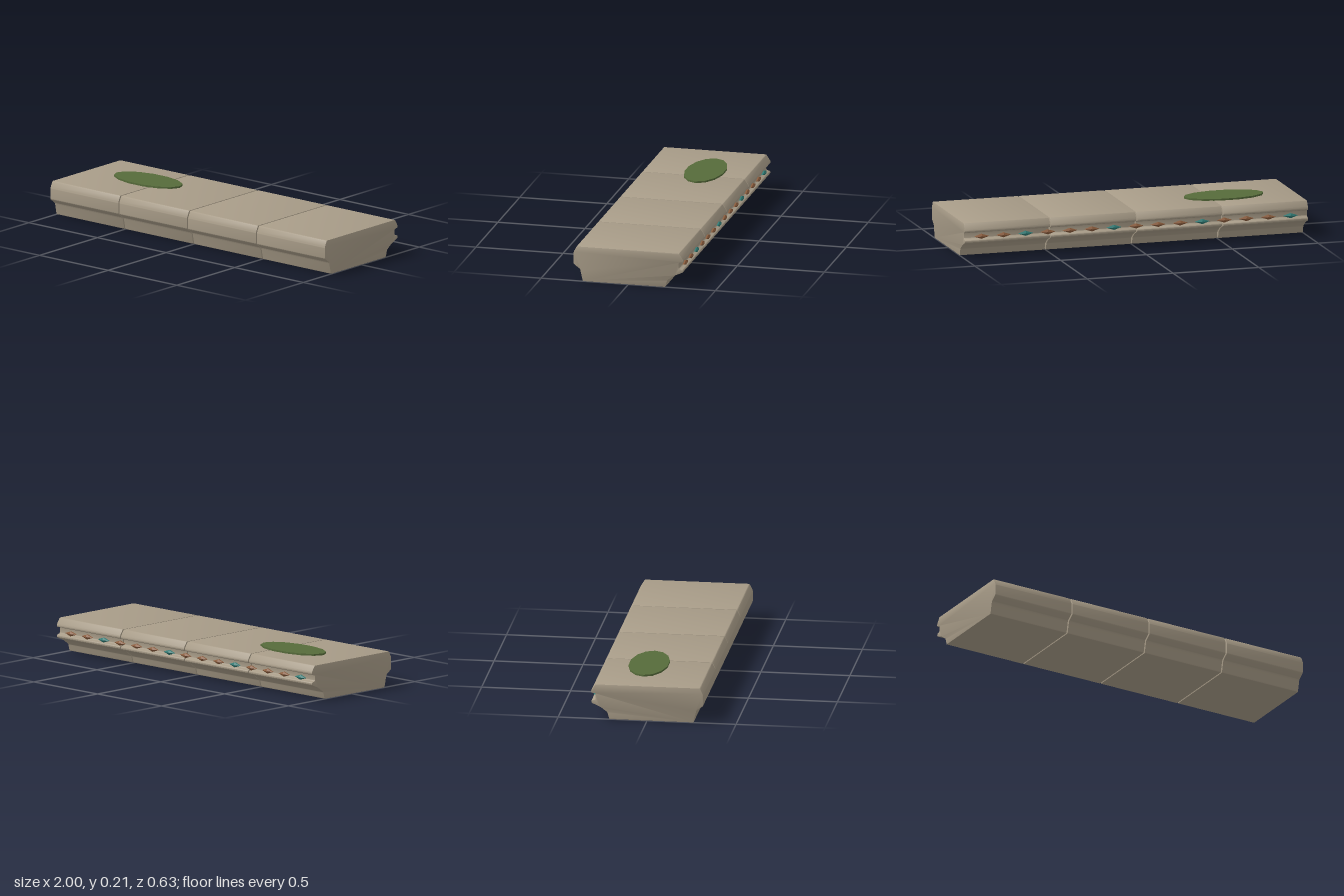
import * as THREE from 'three';
import { toCreasedNormals, mergeGeometries } from 'three/addons/utils/BufferGeometryUtils.js';

// Closed shape whose corners are softened by radius r
function roundedShape(points, r) {
  const p = points.map(([a, b]) => new THREE.Vector2(a, b));
  const shape = new THREE.Shape();
  const toward = (a, b) => a.clone().lerp(b, Math.min(r / a.distanceTo(b), 0.45));
  p.forEach((c, i) => {
    const start = toward(c, p[(i + p.length - 1) % p.length]);
    const end = toward(c, p[(i + 1) % p.length]);
    if (i === 0) shape.moveTo(start.x, start.y);
    else shape.lineTo(start.x, start.y);
    shape.quadraticCurveTo(c.x, c.y, end.x, end.y);
  });
  shape.closePath();
  return shape;
}

export function createModel() {
  const group = new THREE.Group();
  const material = (color) => new THREE.MeshStandardMaterial({ color });
  const stone = material(0xa89c88);
  const moss = material(0x566b3a);
  const copper = material(0x8a5c3c);
  const teal = material(0x2f7a74);
  moss.flatShading = copper.flatShading = teal.flatShading = true;

  // Ledge cross-section as (z, y): stepped front, channelled back
  const profile = [
    [0.262, 0], [0.277, 0.069], [0.315, 0.097], [0.315, 0.164], [0.297, 0.2],
    [-0.291, 0.2], [-0.315, 0.163], [-0.314, 0.15], [-0.29, 0.146],
    [-0.29, 0.112], [-0.314, 0.105], [-0.314, 0.091], [-0.262, 0.068],
    [-0.224, 0.04], [-0.213, 0],
  ];
  const blocks = 4, gap = 0.006, bevel = 0.003;
  const length = (2 - gap * (blocks - 1)) / blocks;
  let block = new THREE.ExtrudeGeometry(roundedShape(profile, 0.006), {
    depth: length - 2 * bevel, curveSegments: 3,
    bevelEnabled: true, bevelThickness: bevel, bevelSize: bevel,
    bevelOffset: -bevel, bevelSegments: 2,
  });
  block.translate(0, 0, bevel - length / 2).rotateY(-Math.PI / 2);
  block = toCreasedNormals(block, 0.5);
  for (let i = 0; i < blocks; i++) {
    const mesh = new THREE.Mesh(block, stone);
    mesh.name = `stoneBlock${i + 1}`;
    mesh.position.x = -1 + length / 2 + i * (length + gap);
    group.add(mesh);
  }

  // Diamond inlays along the back channel: short prism with a faceted cap
  const prism = new THREE.CylinderGeometry(1, 1, 0.008, 4).translate(0, 0.004, 0);
  const cap = new THREE.CylinderGeometry(0.25, 1, 0.008, 4, 1).translate(0, 0.012, 0);
  const gem = mergeGeometries([prism, cap]);
  gem.rotateX(-Math.PI / 2).scale(0.042, 0.014, 1);
  const inlays = new THREE.Group();
  inlays.name = 'inlays';
  for (let i = 0; i < 15; i++) {
    const mesh = new THREE.Mesh(gem, i % 4 === 0 ? teal : copper);
    mesh.name = i % 4 === 0 ? 'tealInlay' : 'copperInlay';
    mesh.position.set(-0.9 + i * (1.8 / 14), 0.122, -0.298);
    inlays.add(mesh);
  }
  group.add(inlays);

  // Flat oval moss patch on the top
  const patch = new THREE.Mesh(
    new THREE.CylinderGeometry(1, 1, 0.011, 14).rotateY(Math.PI / 2), moss);
  patch.name = 'mossPatch';
  patch.scale.set(0.231, 1, 0.112);
  patch.position.set(-0.589, 0.2045, -0.045);
  group.add(patch);

  return group;
}
